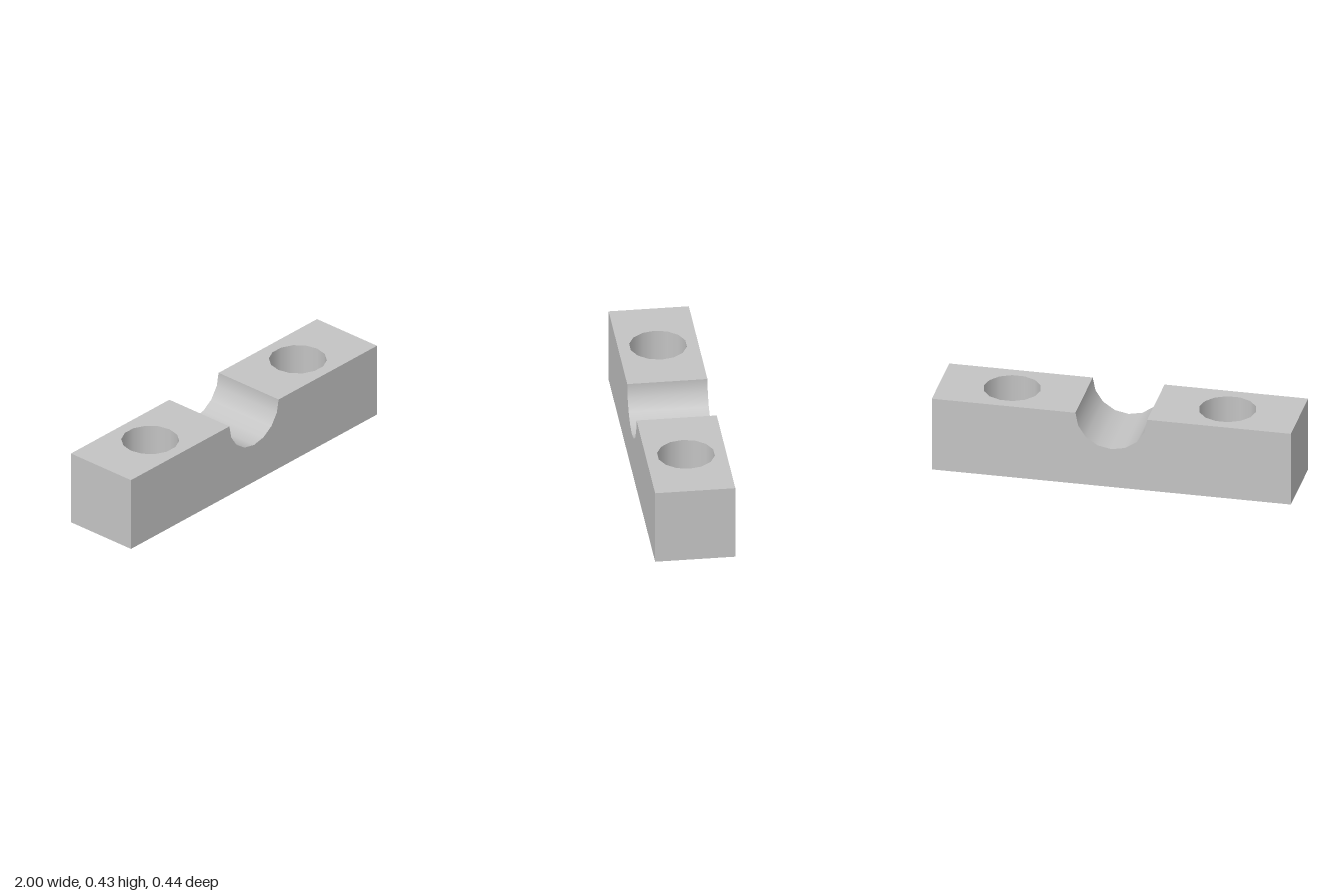
import * as THREE from 'three';

const L = 2, H = 0.43, D = 0.44;      // block length, height, depth
const GROOVE_R = 0.2, GROOVE_SIDES = 8;
const HOLE_R = 0.158, HOLE_SIDES = 14, HOLE_X = 0.6;

// Points on an arc, in the XY plane
function arc(cx, cy, r, start, sweep, sides) {
  return Array.from({ length: sides + 1 }, (_, i) => {
    const a = start + (sweep * i) / sides;
    return new THREE.Vector2(cx + r * Math.cos(a), cy + r * Math.sin(a));
  });
}

// Rectangle between x0 and x1 over the full depth, with an optional round hole
function plate(x0, x1, holes) {
  const d = D / 2;
  const shape = new THREE.Shape([[x0, -d], [x1, -d], [x1, d], [x0, d]].map(p => new THREE.Vector2(...p)));
  for (const x of holes) {
    shape.holes.push(new THREE.Path(arc(x, 0, HOLE_R, 0, Math.PI * 2, HOLE_SIDES).slice(0, -1)));
  }
  return new THREE.ShapeGeometry(shape);
}

// Inward-facing round wall: the profile runs downward so its normals face the axis
function bore(r, from, to, sides, start, sweep) {
  return new THREE.LatheGeometry([new THREE.Vector2(r, from), new THREE.Vector2(r, to)], sides, start, sweep);
}

export function createModel() {
  const model = new THREE.Group();
  model.name = 'clampBlock';
  const grey = new THREE.MeshStandardMaterial({ color: 0xc4c4c4 });
  grey.name = 'grey';
  const add = (name, geometry) => {
    const mesh = new THREE.Mesh(geometry, grey);
    mesh.name = name;
    model.add(mesh);
  };

  // Front and back walls with the groove outline cut from the top edge
  const profile = new THREE.Shape([
    new THREE.Vector2(-L / 2, 0),
    new THREE.Vector2(L / 2, 0),
    new THREE.Vector2(L / 2, H),
    ...arc(0, H, GROOVE_R, 0, -Math.PI, GROOVE_SIDES),
    new THREE.Vector2(-L / 2, H),
  ]);
  add('frontWall', new THREE.ShapeGeometry(profile).translate(0, 0, D / 2));
  add('backWall', new THREE.ShapeGeometry(profile).rotateY(Math.PI).translate(0, 0, -D / 2));

  // Underside with both bolt holes
  add('underside', plate(-L / 2, L / 2, [-HOLE_X, HOLE_X]).rotateX(Math.PI / 2));

  // Half-round groove across the middle
  add('groove', bore(GROOVE_R, D / 2, -D / 2, GROOVE_SIDES, -Math.PI / 2, Math.PI)
    .rotateX(Math.PI / 2).translate(0, H, 0));

  // Top face, bolt hole and end wall on each side
  for (const [side, s] of [['left', 1], ['right', -1]]) {
    const inner = s * GROOVE_R, outer = s * L / 2;
    add(side + 'Top', plate(Math.min(inner, outer), Math.max(inner, outer), [s * HOLE_X])
      .rotateX(-Math.PI / 2).translate(0, H, 0));
    add(side + 'BoltHole', bore(HOLE_R, H, 0, HOLE_SIDES, Math.PI / 2, Math.PI * 2).translate(s * HOLE_X, 0, 0));
    add(side + 'End', new THREE.PlaneGeometry(D, H).rotateY(s * Math.PI / 2).translate(outer, H / 2, 0));
  }
  return model;
}
